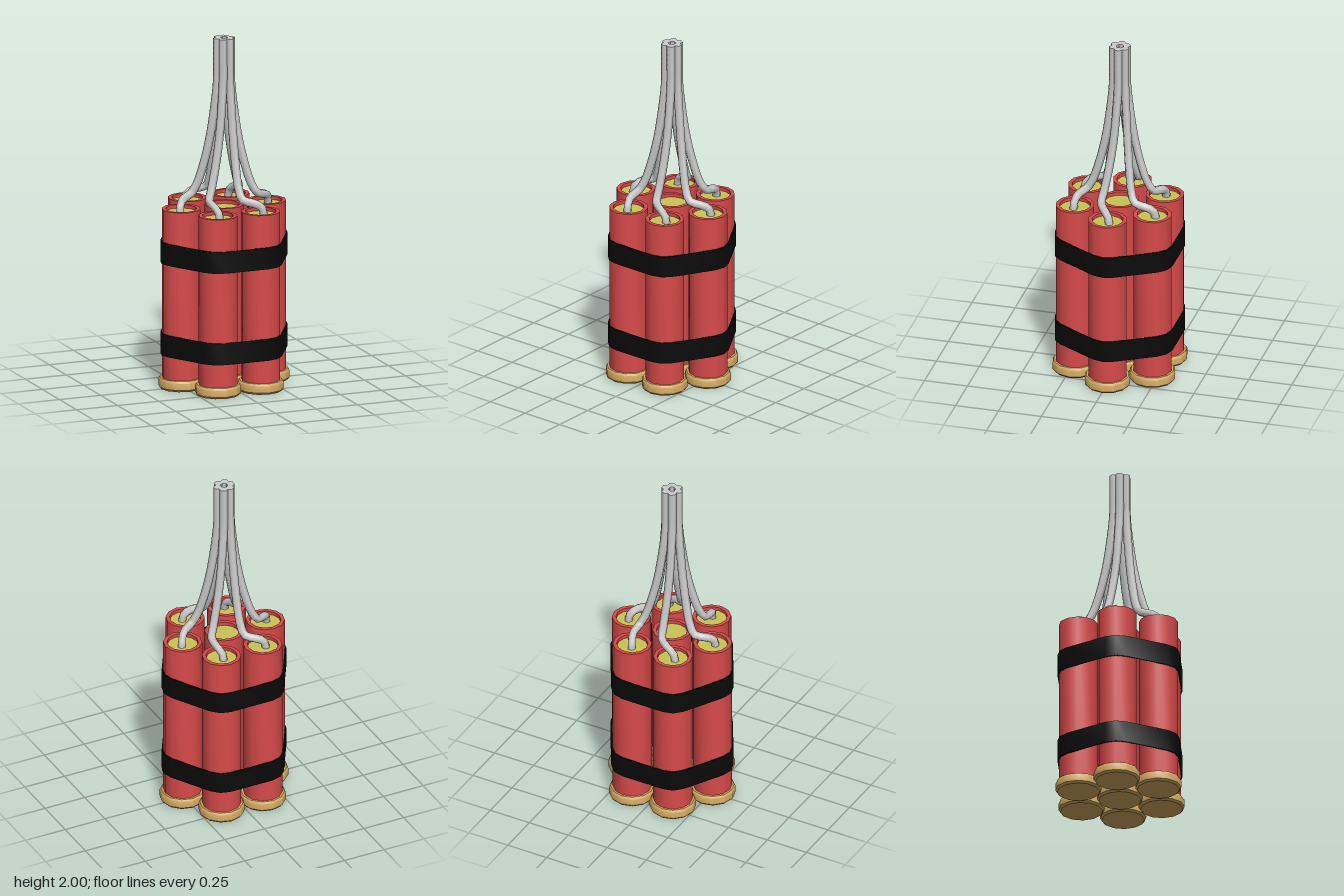
import * as THREE from 'three';
import { toCreasedNormals } from 'three/addons/utils/BufferGeometryUtils.js';

const SIDES = 12;      // facets of every stick
const SPACING = 0.26;  // distance between neighbouring sticks
const CREASE = 0.6;

const material = (color, side = THREE.FrontSide) =>
  new THREE.MeshStandardMaterial({ color, side });

const lathe = (profile) => toCreasedNormals(
  new THREE.LatheGeometry(profile.map(([r, y]) => new THREE.Vector2(r, y)), SIDES), CREASE);

function addMesh(parent, name, geometry, mat) {
  const mesh = new THREE.Mesh(geometry, mat);
  mesh.name = name;
  parent.add(mesh);
  return mesh;
}

// Outline wrapped round the six outer sticks at a given distance from their axes
function wrapPoints(radius) {
  const points = [];
  for (let k = 0; k < 6; k++) {
    for (let j = -1; j <= 1; j++) {
      const centre = k * Math.PI / 3;
      const a = centre + j * Math.PI / 6;
      points.push(new THREE.Vector2(
        SPACING * Math.cos(centre) + radius * Math.cos(a),
        SPACING * Math.sin(centre) + radius * Math.sin(a)));
    }
  }
  return points;
}

function bandGeometry(height) {
  const shape = new THREE.Shape(wrapPoints(0.118));
  shape.holes.push(new THREE.Path(wrapPoints(0.110)));
  const geometry = new THREE.ExtrudeGeometry(shape, { depth: height, bevelEnabled: false });
  geometry.rotateX(-Math.PI / 2);
  return toCreasedNormals(geometry, CREASE);
}

export function createModel() {
  const model = new THREE.Group();
  model.name = 'stickBundle';

  const red = material(0xd84a4a);
  const tan = material(0xd4aa62);
  const yellow = material(0xcac455);
  const black = material(0x0a0a0a);
  const grey = material(0xcccccc);
  const greyCap = material(0xcccccc, THREE.DoubleSide);

  // Sticks: tube with recessed filling and a bevelled foot
  const tubeGeo = lathe([[0.11, 0.04], [0.11, 1.035], [0.088, 1.035], [0.088, 1.0]]);
  const footGeo = lathe([[0, 0], [0.12, 0], [0.13, 0.012], [0.13, 0.05], [0.122, 0.062], [0.105, 0.062]]);
  const fillGeo = new THREE.CircleGeometry(0.089, SIDES).rotateX(-Math.PI / 2).translate(0, 1.015, 0);

  for (let i = 0; i < 7; i++) {
    const stick = new THREE.Group();
    stick.name = 'stick';
    if (i < 6) {
      const a = i * Math.PI / 3;
      stick.position.set(SPACING * Math.cos(a), 0, SPACING * Math.sin(a));
    }
    addMesh(stick, 'stickTube', tubeGeo, red);
    addMesh(stick, 'stickFoot', footGeo, tan);
    addMesh(stick, 'stickFilling', fillGeo, yellow);
    model.add(stick);
  }

  // Two bands holding the bundle
  const bandGeo = bandGeometry(0.125);
  addMesh(model, 'lowerBand', bandGeo, black).position.y = 0.195;
  addMesh(model, 'upperBand', bandGeo, black).position.y = 0.725;

  // Wires: one bent path, repeated six times round the axis
  const path = new THREE.CatmullRomCurve3([
    [0.04, 2, 0], [0.04, 1.88, 0], [0.041, 1.76, 0], [0.056, 1.6, 0.006],
    [0.08, 1.42, 0.018], [0.11, 1.27, 0.035], [0.145, 1.15, 0.053], [0.178, 1.098, 0.06],
    [0.235, 1.08, 0.03], [0.265, 1.055, -0.003], [0.274, 0.99, -0.015],
  ].map((p) => new THREE.Vector3(...p)));
  const wireGeo = new THREE.TubeGeometry(path, 36, 0.024, 6);

  // Flat top of a wire, closing the first ring of its tube
  const ring = [new THREE.Vector3(0.04, 2, 0)];
  for (let i = 0; i < 6; i++) {
    ring.push(new THREE.Vector3().fromBufferAttribute(wireGeo.attributes.position, i).setY(2));
  }
  const a = ring[1].clone().sub(ring[0]);
  const b = ring[2].clone().sub(ring[0]);
  const upward = a.cross(b).y > 0;
  const faces = [];
  for (let i = 1; i <= 6; i++) {
    const next = i % 6 + 1;
    faces.push(0, upward ? i : next, upward ? next : i);
  }
  const endGeo = new THREE.BufferGeometry().setFromPoints(ring);
  endGeo.setIndex(faces);
  endGeo.computeVertexNormals();

  for (let i = 0; i < 6; i++) {
    const wire = new THREE.Group();
    wire.name = 'wire';
    wire.rotation.y = i * Math.PI / 3;
    addMesh(wire, 'wireStrand', wireGeo, grey);
    addMesh(wire, 'wireEnd', endGeo, greyCap);
    model.add(wire);
  }

  return model;
}
